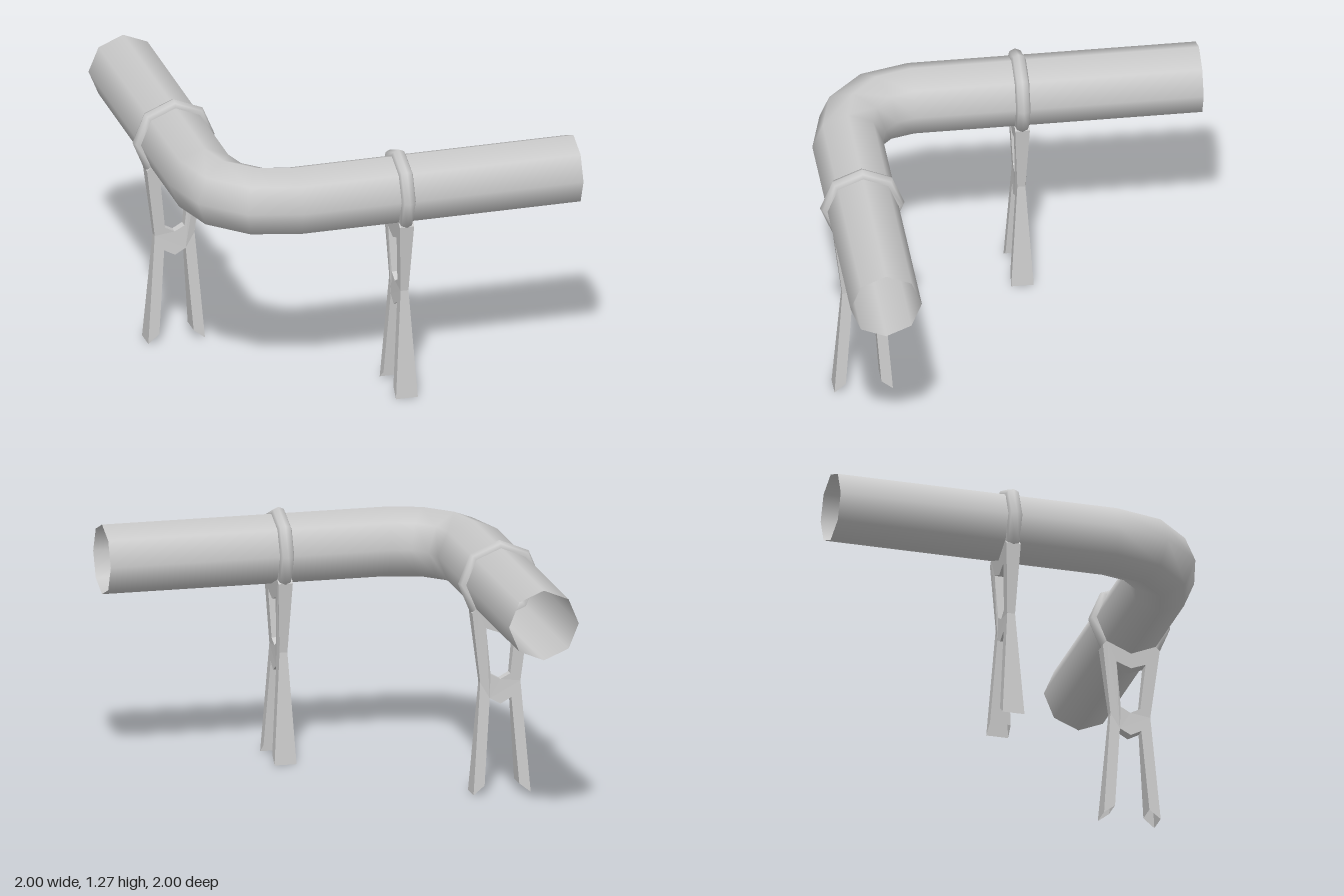
import * as THREE from 'three';

const AXIS_Y = 1.065;   // height of the pipe axis
const LINE = 0.79;      // distance of each pipe run from the centre
const BEND = 0.36;      // bend radius of the pipe axis

// Open eight-sided pipe: a cylinder whose rows are swept round a three-step elbow
function makePipe(material) {
  const geo = new THREE.CylinderGeometry(0.177, 0.177, 1, 8, 5, true);
  const pos = geo.attributes.position, nor = geo.attributes.normal;
  const angles = [0, 0, 30, 60, 90, 90];
  const corner = BEND - LINE;
  const normal = new THREE.Vector3();
  for (let i = 0; i < pos.count; i++) {
    const row = Math.floor(i / 9);
    const a = THREE.MathUtils.degToRad(angles[row]);
    const ox = -Math.cos(a), oz = Math.sin(a);
    const across = pos.getX(i), up = -pos.getZ(i);
    let x = corner + ox * (BEND + across);
    let z = -corner + oz * (BEND + across);
    if (row === 0) z = -1;
    if (row === 5) x = 1;
    normal.set(ox * across, up, oz * across).normalize();
    pos.setXYZ(i, x, AXIS_Y + up, z);
    nor.setXYZ(i, normal.x, normal.y, normal.z);
  }
  const mesh = new THREE.Mesh(geo, material);
  mesh.name = 'pipe';
  return mesh;
}

// Half thickness of the stand at height y: broad feet, narrow waist, wider neck
function halfThickness(y) {
  const lerp = THREE.MathUtils.lerp;
  return y < 0.56 ? lerp(0.056, 0.02, y / 0.56) : lerp(0.02, 0.037, (y - 0.56) / 0.37);
}

// Adds the mirrored half to a half outline running from the centre line outwards
function mirrored(half) {
  const other = half.filter(p => p[0] !== 0).reverse().map(([u, y]) => [-u, y]);
  return [...half, ...other].map(p => new THREE.Vector2(...p));
}

function makeStandGeometry() {
  const outline = new THREE.Shape(mirrored([
    [0, 0.45], [0.055, 0.48], [0.088, 0.045], [0.145, 0], [0.102, 0.56],
    [0.146, 0.92], [0.122, 0.943], [0, 0.893],
  ]));
  outline.holes.push(new THREE.Path(mirrored([
    [0, 0.573], [0.05, 0.6], [0.075, 0.838], [0, 0.81],
  ])));
  const raw = new THREE.ExtrudeGeometry(outline, { depth: 1, bevelEnabled: false });
  const p = raw.attributes.position;
  const kept = [];
  for (let i = 0; i < p.count; i += 3) {
    const tri = [0, 1, 2].map(k => [p.getX(i + k), p.getY(i + k), p.getZ(i + k)]);
    if (tri.every(v => v[1] < 0.06)) continue;   // feet are hollow and open below
    for (const [x, y, z] of tri) kept.push(x, y, (z - 0.5) * 2 * halfThickness(y));
  }
  const geo = new THREE.BufferGeometry();
  geo.setAttribute('position', new THREE.Float32BufferAttribute(kept, 3));
  geo.computeVertexNormals();
  return geo;
}

export function createModel() {
  const material = new THREE.MeshStandardMaterial({ color: 0xcccccc, side: THREE.DoubleSide });
  const model = new THREE.Group();
  model.name = 'pipeOnStands';
  model.add(makePipe(material));

  // One clamp ring and forked stand per run
  const ringGeo = new THREE.TorusGeometry(0.172, 0.038, 8, 8);
  const standGeo = makeStandGeometry();
  const places = [
    { name: 'frontSupport', x: 0.105, z: LINE, turn: Math.PI / 2 },
    { name: 'backSupport', x: -LINE, z: -0.105, turn: 0 },
  ];
  for (const { name, x, z, turn } of places) {
    const support = new THREE.Group();
    support.name = name;
    const ring = new THREE.Mesh(ringGeo, material);
    ring.name = 'clampRing';
    ring.position.y = AXIS_Y;
    const stand = new THREE.Mesh(standGeo, material);
    stand.name = 'forkedStand';
    support.add(ring, stand);
    support.position.set(x, 0, z);
    support.rotation.y = turn;
    model.add(support);
  }
  return model;
}
